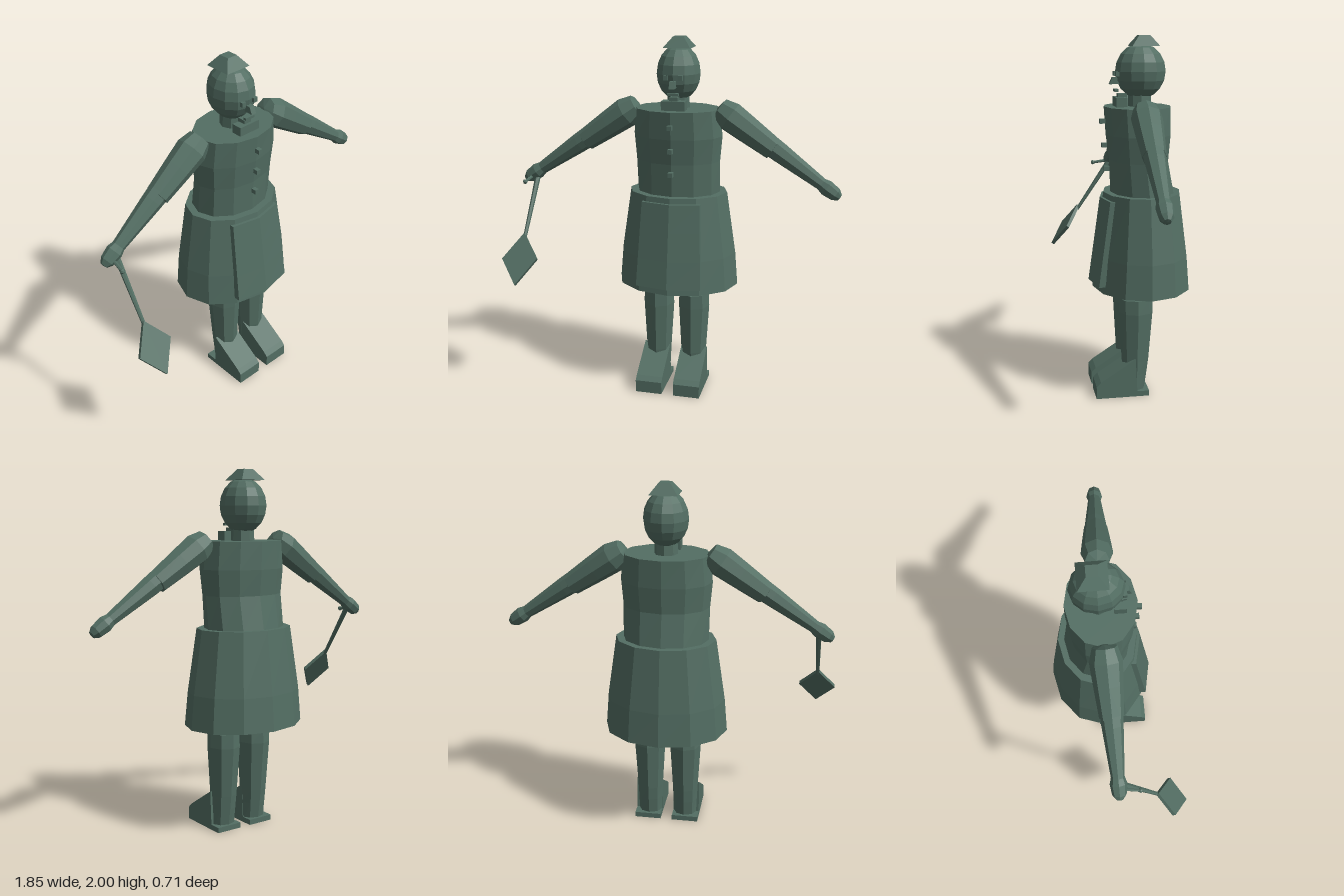
import * as THREE from 'three';

const CX = 0.022; // body centre line
const green = new THREE.MeshStandardMaterial({ color: 0x536e63, flatShading: true });
green.name = 'grey green';

function add(parent, name, geometry, x = 0, y = 0, z = 0) {
  const mesh = new THREE.Mesh(geometry, green);
  mesh.name = name;
  mesh.position.set(x, y, z);
  parent.add(mesh);
  return mesh;
}

// Closed body from elliptical rings, bottom to top: [y, half width, front z, back z]
function loft(rings, n) {
  const pos = [], index = [];
  rings.forEach(([y, rx, zf, zb]) => {
    for (let i = 0; i < n; i++) {
      const a = (i / n) * Math.PI * 2;
      pos.push(Math.sin(a) * rx, y, (zf + zb) / 2 + Math.cos(a) * (zf - zb) / 2);
    }
  });
  const last = (rings.length - 1) * n;
  for (let r = 0; r < last; r += n) {
    for (let i = 0; i < n; i++) {
      const j = (i + 1) % n;
      index.push(r + i, r + j, r + n + j, r + i, r + n + j, r + n + i);
    }
  }
  for (let i = 1; i < n - 1; i++) {
    index.push(0, i + 1, i, last, last + i, last + i + 1);
  }
  const g = new THREE.BufferGeometry();
  g.setAttribute('position', new THREE.Float32BufferAttribute(pos, 3));
  g.setIndex(index);
  g.computeVertexNormals();
  return g;
}

// Solid with n sides turned around y, from [radius, y] pairs
function turned(points, n) {
  return new THREE.LatheGeometry(points.map(([r, y]) => new THREE.Vector2(r, y)), n);
}

// Side profile of [z, y] pairs, given a width along x
function sideProfile(points, width) {
  const shape = new THREE.Shape(points.map(([z, y]) => new THREE.Vector2(z, y)));
  const g = new THREE.ExtrudeGeometry(shape, { depth: width, bevelEnabled: false });
  g.translate(0, 0, -width / 2);
  g.rotateY(-Math.PI / 2);
  return g;
}

// Rod between two points
function rod(parent, name, a, b, ra, rb) {
  const dir = b.clone().sub(a);
  const mesh = add(parent, name, new THREE.CylinderGeometry(rb, ra, dir.length(), 6));
  mesh.position.copy(a).lerp(b, 0.5);
  mesh.quaternion.setFromUnitVectors(new THREE.Vector3(0, 1, 0), dir.normalize());
  return mesh;
}

// Apron panel bent around the front of the skirt
function apronGeometry() {
  const g = new THREE.BoxGeometry(2, 1, 1, 2, 3, 1);
  const p = g.attributes.position;
  for (let i = 0; i < p.count; i++) {
    const u = p.getX(i), t = 0.5 - p.getY(i);
    const front = 0.16 + 0.067 * t - 0.035 * Math.abs(u);
    p.setXYZ(i, u * (0.163 + 0.02 * t), 1.12 - 0.47 * t, p.getZ(i) > 0 ? front : front - 0.035);
  }
  g.computeVertexNormals();
  return g;
}

export function createModel() {
  const model = new THREE.Group();
  model.name = 'figure';

  // Clothes
  add(model, 'torso', loft([
    [1.14, 0.236, 0.1, -0.258], [1.33, 0.238, 0.107, -0.222],
    [1.47, 0.25, 0.125, -0.235], [1.62, 0.237, 0.135, -0.235],
  ], 12), CX);
  add(model, 'skirt', loft([
    [0.61, 0.347, 0.205, -0.35], [0.8, 0.331, 0.185, -0.335], [1.15, 0.278, 0.14, -0.29],
  ], 12), CX);
  add(model, 'apron', apronGeometry(), CX);
  [[1.54, 0.143], [1.41, 0.133], [1.28, 0.122]].forEach(([y, z]) => {
    add(model, 'button', new THREE.BoxGeometry(0.025, 0.025, 0.03), CX, y, z);
  });

  // Head
  add(model, 'neck', loft([[1.6, 0.065, 0, -0.13], [1.7, 0.06, 0, -0.125]], 8), CX);
  add(model, 'collar', new THREE.BoxGeometry(0.13, 0.05, 0.06), CX, 1.645, 0.045);
  add(model, 'collarKnot', new THREE.BoxGeometry(0.045, 0.05, 0.05), CX, 1.665, 0.035);
  const rings = [];
  for (let i = 0; i <= 8; i++) {
    const a = (-0.43 + 0.86 * i / 8) * Math.PI;
    const r = Math.cos(a);
    rings.push([1.808 + 0.149 * Math.sin(a), 0.122 * r, -0.068 + 0.14 * r, -0.068 - 0.14 * r]);
  }
  add(model, 'head', loft(rings, 12), CX);
  const hat = new THREE.CylinderGeometry(0.03 * Math.SQRT2, 0.076 * Math.SQRT2, 0.058, 4);
  hat.rotateY(Math.PI / 4);
  add(model, 'hat', hat, CX, 1.971, -0.086);

  // Face
  for (const s of [-1, 1]) {
    add(model, 'eye', new THREE.BoxGeometry(0.025, 0.025, 0.02), CX + s * 0.04, 1.795, 0.066);
  }
  add(model, 'nose', sideProfile([[0.05, 1.74], [0.105, 1.74], [0.088, 1.778], [0.05, 1.778]], 0.03), CX);
  add(model, 'mouth', new THREE.BoxGeometry(0.06, 0.014, 0.02), CX, 1.707, 0.068);

  // Arms, each made along its own axis and then swung out
  for (const s of [-1, 1]) {
    const arm = new THREE.Group();
    arm.name = s > 0 ? 'leftArm' : 'rightArm';
    arm.position.set(CX + s * 0.268, 1.598, -0.048);
    arm.rotation.set(0, -s * 0.035, -s * 2.173);
    add(arm, 'upperArm', turned([
      [0, -0.055], [0.063, -0.043], [0.084, 0.03], [0.076, 0.15], [0.063, 0.32], [0, 0.35],
    ], 8));
    add(arm, 'forearm', turned([
      [0, 0.24], [0.06, 0.26], [0.056, 0.36], [0.034, 0.66], [0, 0.66],
    ], 8), s * -0.006);
    add(arm, 'hand', turned([
      [0, 0.62], [0.034, 0.635], [0.045, 0.675], [0.038, 0.735], [0.02, 0.762], [0, 0.765],
    ], 8), s * -0.006);
    model.add(arm);
  }

  // Legs and shoes
  for (const s of [-1, 1]) {
    add(model, 'leg', loft([
      [0.02, 0.066, 0.03, -0.075], [0.12, 0.07, 0.045, -0.09],
      [0.2, 0.074, 0.055, -0.1], [0.48, 0.09, 0.07, -0.123], [0.56, 0.086, 0.07, -0.12],
    ], 8), CX + s * 0.104);
    add(model, 'shoe', sideProfile([
      [-0.09, 0], [0.21, 0], [0.21, 0.07], [0.185, 0.095], [-0.012, 0.222],
      [-0.022, 0.03], [-0.09, 0.03],
    ], 0.152), CX + s * 0.11);
  }

  // Hand tool with a diamond blade, and a short peg held beside it
  const tool = new THREE.Group();
  tool.name = 'tool';
  rod(tool, 'handle', new THREE.Vector3(-0.803, 1.19, -0.015), new THREE.Vector3(-0.815, 0.88, 0.19), 0.016, 0.01);
  const diamond = new THREE.Shape([[0, -0.155], [0.103, 0.006], [0, 0.15], [-0.103, -0.01]]
    .map(([x, y]) => new THREE.Vector2(x, y)));
  const blade = add(tool, 'blade', new THREE.ExtrudeGeometry(diamond, { depth: 0.02, bevelEnabled: false }),
    -0.817, 0.774, 0.26);
  blade.rotation.x = -0.6;
  rod(tool, 'peg', new THREE.Vector3(-0.83, 1.195, -0.02), new THREE.Vector3(-0.842, 1.18, 0.08), 0.009, 0.009);
  add(tool, 'pegKnob', new THREE.SphereGeometry(0.014, 6, 4), -0.842, 1.18, 0.083);
  model.add(tool);

  return model;
}
